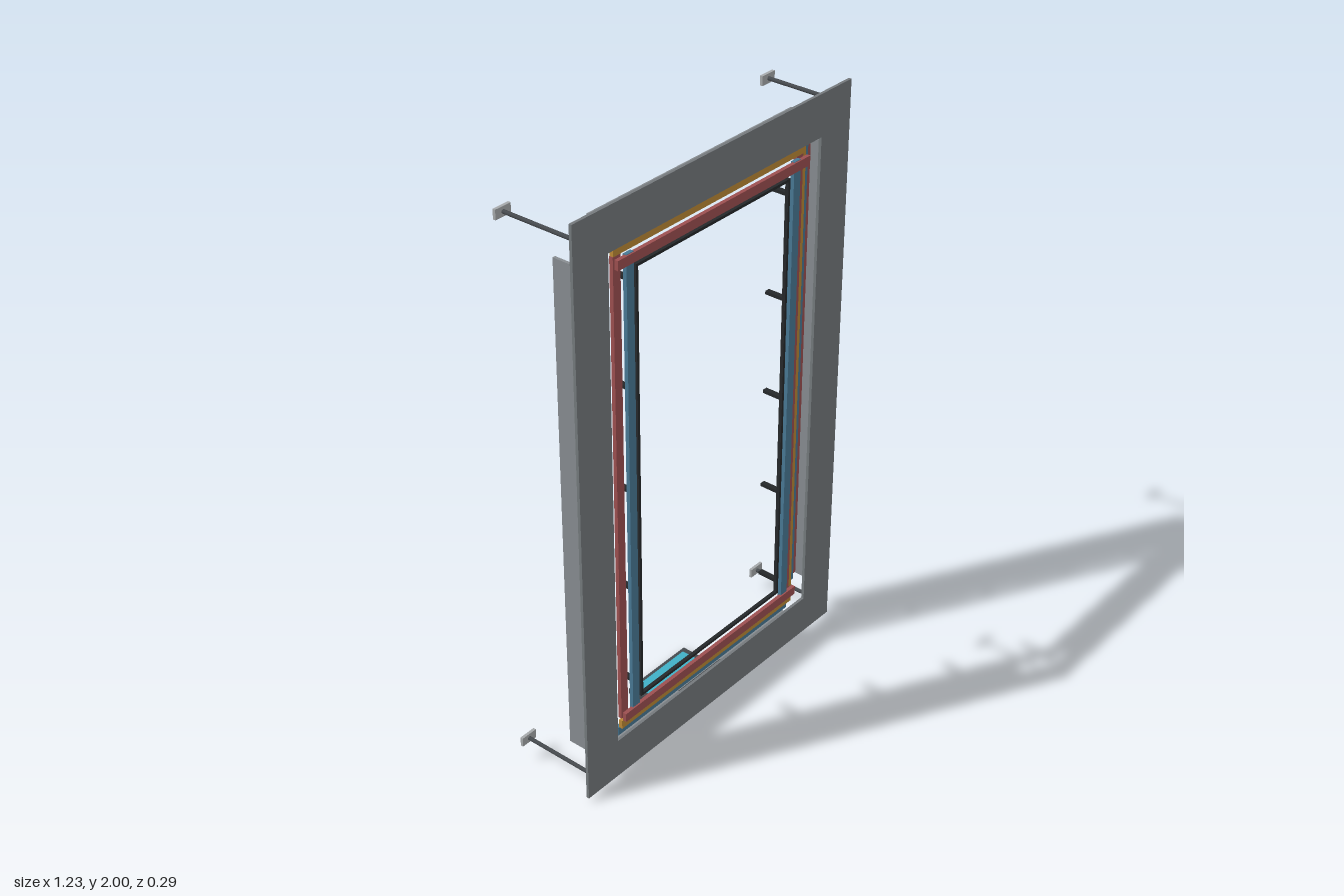
import * as THREE from 'three';

const mat = (name, color) => {
  const m = new THREE.MeshStandardMaterial({ color });
  m.name = name;
  return m;
};

const MID = 1.0075; // height of the frame's centre

export function createModel() {
  const model = new THREE.Group();
  model.name = 'explodedFrame';
  const frameGrey = mat('frame grey', 0x74797c);
  const panelGrey = mat('panel grey', 0x878c90);
  const red = mat('red', 0x9c4f50);
  const amber = mat('amber', 0xbb8835);
  const blue = mat('blue', 0x487894);
  const dark = mat('dark grey', 0x45494d);
  const black = mat('black', 0x25282a);
  const cyan = mat('screen cyan', 0x40b0c6);
  const pale = mat('pale grey', 0xa5a8aa);

  const add = (name, geo, material, x, y, z) => {
    const m = new THREE.Mesh(geo, material);
    m.name = name;
    m.position.set(x, y, z);
    model.add(m);
    return m;
  };
  const box = (name, material, w, h, d, x, y, z) =>
    add(name, new THREE.BoxGeometry(w, h, d), material, x, y, z);
  const rodZ = (name, material, r, z0, z1, x, y) =>
    add(name, new THREE.CylinderGeometry(r, r, z1 - z0, 16).rotateX(Math.PI / 2), material, x, y, (z0 + z1) / 2);

  // Rectangular ring lying in the xy plane
  const ring = (w, h, iw, ih, depth) => {
    const corners = (a, b) => [[-a, -b], [a, -b], [a, b], [-a, b]].map(p => new THREE.Vector2(p[0] / 2, p[1] / 2));
    const shape = new THREE.Shape(corners(w, h));
    shape.holes.push(new THREE.Path(corners(iw, ih).reverse()));
    return new THREE.ExtrudeGeometry(shape, { depth, bevelEnabled: false });
  };

  // Front frame and slim inner frame
  add('frontFrame', ring(1.23, 1.985, 0.95, 1.705, 0.01), frameGrey, 0, MID, 0.136);
  add('innerFrame', ring(0.694, 1.524, 0.676, 1.506, 0.012), black, 0, MID, 0.12);

  // Stepped upright strips: x centre, z centre
  const uprights = [
    ['outerRedStrip', red, 0.515, 0.06],
    ['outerBlueStrip', blue, 0.48, 0.077],
    ['amberStrip', amber, 0.446, 0.094],
    ['innerRedStrip', red, 0.41, 0.111],
    ['innerBlueStrip', blue, 0.375, 0.129],
  ];
  // Stepped cross strips: offset from mid height, z centre
  const crosses = [
    ['blueCrossStrip', blue, 0.867, 0.1],
    ['amberCrossStrip', amber, 0.83, 0.117],
    ['redCrossStrip', red, 0.793, 0.134],
  ];

  for (const s of [-1, 1]) {
    for (const [name, m, x, z] of uprights)
      box(name, m, 0.031, 1.62, 0.013, s * x, MID, z);
    for (const [name, m, dy, z] of crosses)
      box(name, m, 0.86, 0.031, 0.013, 0, MID + s * dy, z);

    // Side panel with a shallow inner plate
    box('sidePanel', panelGrey, 0.01, 1.69, 0.095, s * 0.571, MID, 0.0845);
    box('sidePanelInset', panelGrey, 0.004, 1.58, 0.06, s * 0.5645, MID, 0.0845);

    // Top and bottom panels with control boxes
    const y = MID + s * 0.926;
    box('endPanel', panelGrey, 0.9, 0.01, 0.083, 0, y, 0.0905);
    box('endPanelFoot', frameGrey, 0.85, 0.008, 0.005, 0, y, 0.1345);
    box('controlBox', dark, 0.215, 0.022, 0.056, 0, y + s * 0.006, 0.108);

    // Pegs on the inner frame
    for (let i = -2; i <= 2; i++)
      box('framePeg', black, 0.018, 0.011, 0.065, s * 0.347, MID + i * 0.355, 0.088);

    // Wall rods with end plates
    for (const t of [-1, 1]) {
      const ry = MID + t * 0.927;
      rodZ('wallRod', dark, 0.0065, -0.137, 0.137, s * 0.58, ry);
      box('wallPlate', pale, 0.06, 0.032, 0.01, s * 0.58, ry, -0.141);
    }

    // Display rods
    rodZ('displayRod', dark, 0.006, -0.02, 0.115, s * 0.095, 0.012);
  }

  // Small flat display at the base
  box('displayCase', dark, 0.282, 0.02, 0.093, 0, 0.01, -0.057);
  box('displayScreen', cyan, 0.24, 0.004, 0.066, 0, 0.021, -0.057);

  return model;
}
